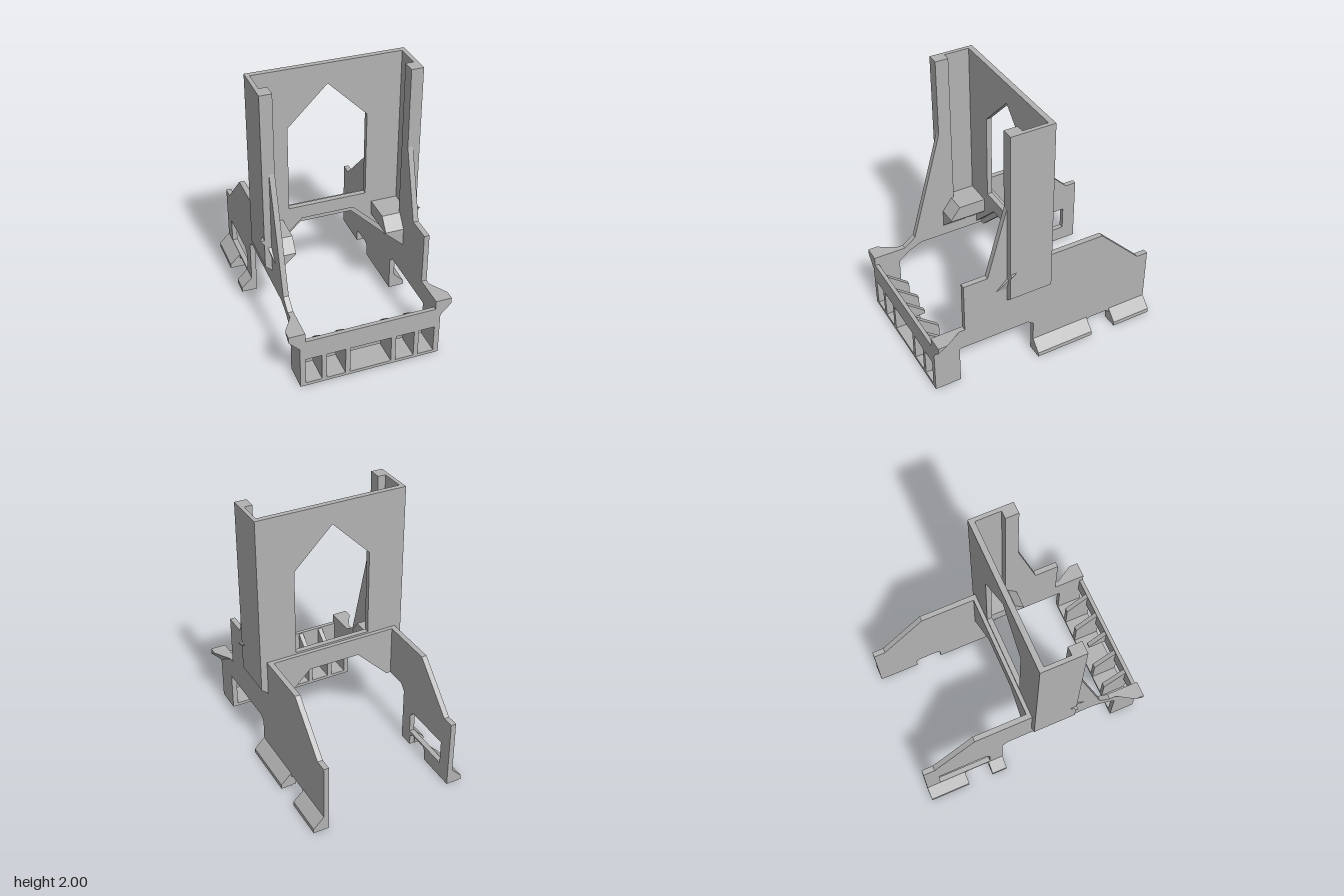
import * as THREE from 'three';
import { ConvexGeometry } from 'three/addons/geometries/ConvexGeometry.js';

export function createModel() {
  const model = new THREE.Group();
  model.name = 'frame';
  const grey = new THREE.MeshStandardMaterial({ color: 0xb2b2b2 });
  grey.name = 'plain grey';

  const add = (name, geometry) => {
    const mesh = new THREE.Mesh(geometry, grey);
    mesh.name = name;
    model.add(mesh);
    return mesh;
  };
  const vecs = (pts) => pts.map(([a, b]) => new THREE.Vector2(a, b));
  const extrude = (pts, depth, holes = []) => {
    const shape = new THREE.Shape(vecs(pts));
    holes.forEach((h) => shape.holes.push(new THREE.Path(vecs(h))));
    return new THREE.ExtrudeGeometry(shape, { depth, bevelEnabled: false });
  };
  // Outline in x,y pushed from z0 to z1
  const frontPlate = (name, pts, z0, z1, holes) =>
    add(name, extrude(pts, z1 - z0, holes).translate(0, 0, z0));
  // Outline in z,y pushed from x0 to x1
  const sidePlate = (name, pts, x0, x1, holes) =>
    add(name, extrude(pts, x1 - x0, holes).rotateY(-Math.PI / 2).translate(x1, 0, 0));
  const box = (name, x0, x1, y0, y1, z0, z1) =>
    add(name, new THREE.BoxGeometry(x1 - x0, y1 - y0, z1 - z0)
      .translate((x0 + x1) / 2, (y0 + y1) / 2, (z0 + z1) / 2));
  // Convex block, mirrored by the sign s
  const hull = (name, s, pts) =>
    add(name, new ConvexGeometry(pts.map(([x, y, z]) => new THREE.Vector3(s * x, y, z))));
  const rect = (a0, a1, b0, b1) => [[a0, b0], [a1, b0], [a1, b1], [a0, b1]];

  // Side walls: shared rear outline with the foot notch
  const rear = [[0.22, 1.4], [0.22, 0.8], [-0.02, 0.8], [-0.02, 0.87], [-0.47, 0.87],
    [-0.8, 0.54], [-0.89, 0.54], [-0.89, 0], [-0.575, 0], [-0.575, 0.08], [-0.55, 0.105],
    [-0.4, 0.105], [-0.37, 0.08], [-0.37, 0]];
  sidePlate('leftWall', [
    [0.89, 0], [0.89, 0.47], [0.645, 0.47], [0.645, 0.865], [0.46, 0.865], [0.31, 1.4],
    ...rear,
    [0.09, 0], [0.09, 0.27], [0.135, 0.305], [0.69, 0.305], [0.69, 0],
  ], 0.485, 0.525);
  sidePlate('rightWall', [
    [0.89, 0], [0.89, 0.47], [0.64, 0.47], [0.55, 0.54], [0.31, 1.4],
    ...rear,
    [-0.255, 0], [-0.255, 0.43], [-0.21, 0.475], [0.5, 0.475], [0.6, 0.43], [0.69, 0.36], [0.69, 0],
  ], -0.525, -0.485, [[[-0.78, 0.12], [-0.36, 0.12], [-0.36, 0.27], [-0.4, 0.31], [-0.78, 0.31]]]);

  // Tower back with the pointed window and arched lower edge
  frontPlate('towerBack', [
    [-0.575, 2], [-0.575, 0.645], [-0.525, 0.6], [-0.485, 0.5], [-0.2, 0.78],
    [0.2, 0.78], [0.485, 0.5], [0.525, 0.6], [0.575, 0.645], [0.575, 2],
  ], -0.02, 0.02, [[[-0.295, 0.885], [0.295, 0.885], [0.295, 1.55], [0, 1.845], [-0.295, 1.55]]]);
  frontPlate('crossPanel', [
    [-0.485, 0.87], [-0.485, 0.475], [-0.45, 0.475], [-0.2, 0.725],
    [0.2, 0.725], [0.485, 0.44], [0.485, 0.87],
  ], -0.05, -0.02);

  for (const s of [1, -1]) {
    const side = s > 0 ? 'left' : 'right';
    const flip = (pts) => pts.map(([x, y]) => [s * x, y]);

    // Tower channel: outer side, front flange, tapered foot
    frontPlate(side + 'TowerSide', flip(rect(0.545, 0.575, 0.645, 2)), 0.02, 0.31);
    frontPlate(side + 'TowerFlange', flip(rect(0.485, 0.546, 0.8, 2)), 0.21, 0.31);
    frontPlate(side + 'TowerFoot', flip([[0.525, 0.6], [0.575, 0.645], [0.546, 0.8], [0.525, 0.8]]), 0.02, 0.31);

    // Inner bracket with slanted underside and sloping front
    hull(side + 'Bracket', s, [
      [0.345, 0.69, 0.02], [0.345, 0.8, 0.02], [0.345, 0.8, 0.23], [0.345, 0.7, 0.305], [0.345, 0.69, 0.305],
      [0.486, 0.56, 0.02], [0.486, 0.8, 0.02], [0.486, 0.8, 0.23], [0.486, 0.7, 0.305], [0.486, 0.56, 0.305],
    ]);

    // Small outer gussets
    hull(side + 'UpperGusset', s, [
      [0.575, 0.87, 0.31], [0.575, 0.87, 0.26], [0.575, 0.83, 0.31], [0.605, 0.87, 0.31]]);
    hull(side + 'LowerGusset', s, [
      [0.525, 0.8, 0.31], [0.55, 0.8, 0.31], [0.525, 0.71, 0.31], [0.525, 0.71, 0.4]]);

    // Bumper ear
    hull(side + 'Ear', s, [
      [0.525, 0.34, 0.89], [0.525, 0.47, 0.69], [0.525, 0.47, 0.89],
      [0.605, 0.425, 0.89], [0.605, 0.47, 0.82], [0.605, 0.47, 0.89]]);

    // Flared foot skirts on either side of the notch
    const skirt = flip([[0.525, 0], [0.605, 0], [0.605, 0.035], [0.525, 0.115]]);
    frontPlate(side + 'RearSkirt', skirt, -0.89, -0.575);
    frontPlate(side + 'FrontSkirt', skirt, -0.375, s > 0 ? 0.09 : -0.255);
  }

  // Front bumper: pierced face, floor and ribs
  const edges = [-0.485, -0.365, -0.33, -0.19, -0.155, 0.155, 0.19, 0.33, 0.365, 0.485];
  const openings = [];
  for (let i = 0; i < edges.length; i += 2) openings.push(rect(edges[i], edges[i + 1], 0.025, 0.24));
  frontPlate('bumperFace', rect(-0.486, 0.486, 0, 0.4), 0.86, 0.89, openings);
  box('bumperFloor', -0.485, 0.485, 0, 0.025, 0.69, 0.86);
  for (const x of [-0.3475, -0.1725, 0.1725, 0.3475]) {
    sidePlate('bumperRib', [[0.69, 0.02], [0.86, 0.02], [0.86, 0.39], [0.69, 0.25]], x - 0.0175, x + 0.0175);
  }
  sidePlate('centreRib', [[0.86, 0.245], [0.86, 0.39], [0.72, 0.27], [0.72, 0.245]], -0.0175, 0.0175);

  return model;
}
